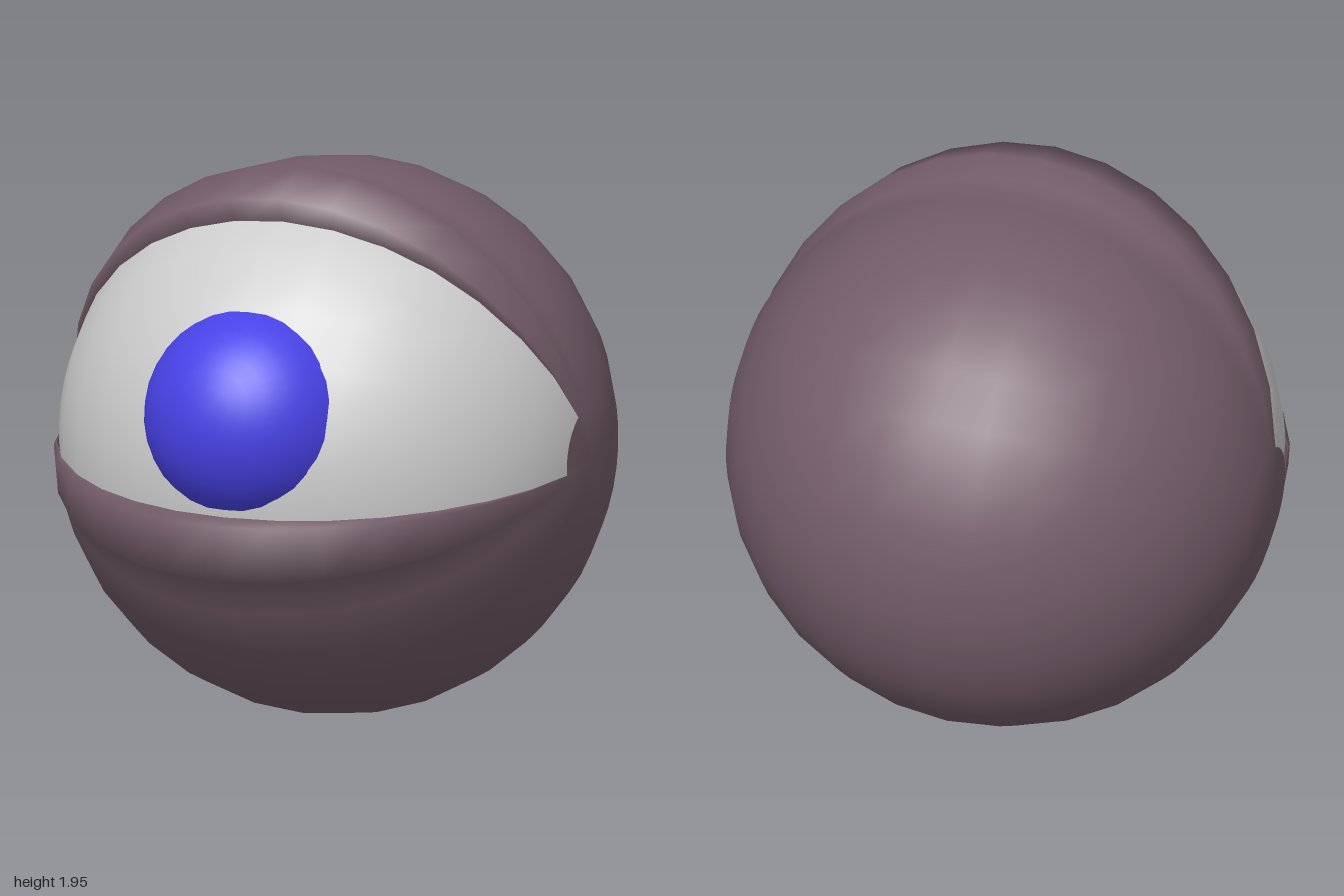
import * as THREE from 'three';
import { mergeVertices } from 'three/addons/utils/BufferGeometryUtils.js';

const R = 0.955, RINGS = 16, STEP = 360 / 32;
const OPEN_TOP = 5.5 * STEP, OPEN_BOTTOM = 31.5 * STEP; // eye opening, degrees from the front

// Eyelid shell: columns swept around the side-to-side axis, with raised rims at the opening
function eyelidGeometry() {
  const columns = [];
  const add = (angle, lift, capOnly = false) => columns.push({ angle, lift, capOnly });
  add(OPEN_TOP, -0.03);
  add(OPEN_TOP, 0.088);
  add(OPEN_TOP + STEP, 0.088);
  for (let a = OPEN_TOP + STEP; a < OPEN_BOTTOM - STEP / 2; a += STEP) add(a, 0);
  add(OPEN_BOTTOM - STEP, 0.088);
  add(OPEN_BOTTOM, 0.088);
  add(OPEN_BOTTOM, -0.03);
  // Across the opening only the small corner caps remain
  for (let i = 0; i <= 6; i++) add(OPEN_BOTTOM + i * STEP, 0, true);

  const position = [], index = [];
  const corner = Math.sin(Math.PI / RINGS);
  for (const { angle, lift } of columns) {
    const a = THREE.MathUtils.degToRad(angle);
    for (let k = 0; k <= RINGS; k++) {
      const t = (k / RINGS) * Math.PI, s = Math.sin(t);
      // The rim swells from nothing at the corners to full height in the middle
      const r = R * s + lift * Math.max(0, (s - corner) / (1 - corner));
      position.push(R * Math.cos(t), r * Math.sin(a), r * Math.cos(a));
    }
  }
  for (let i = 0; i < columns.length - 1; i++) {
    for (let k = 0; k < RINGS; k++) {
      if (columns[i + 1].capOnly && k > 0 && k < RINGS - 1) continue;
      const a = i * (RINGS + 1) + k, b = a + RINGS + 1;
      if (k > 0) index.push(a, b, a + 1);
      if (k < RINGS - 1) index.push(b, b + 1, a + 1);
    }
  }
  const geometry = new THREE.BufferGeometry();
  geometry.setAttribute('position', new THREE.Float32BufferAttribute(position, 3));
  geometry.setIndex(index);
  const merged = mergeVertices(geometry, 1e-4);
  merged.computeVertexNormals();
  return merged;
}

export function createModel() {
  const model = new THREE.Group();
  model.name = 'eye';
  const part = (name, geometry, color) => {
    const mesh = new THREE.Mesh(geometry, new THREE.MeshStandardMaterial({ color }));
    mesh.name = name;
    model.add(mesh);
    return mesh;
  };

  part('eyelids', eyelidGeometry(), 0x735c68).material.side = THREE.DoubleSide;

  // Eyeball, poles turned to the sides like the lids
  const ball = new THREE.SphereGeometry(0.945, 32, 16);
  ball.rotateZ(-Math.PI / 2);
  ball.rotateX(THREE.MathUtils.degToRad(STEP / 2));
  part('eyeball', ball, 0xcccccc);

  // Iris bulging from the eyeball, looking slightly upward
  const look = THREE.MathUtils.degToRad(17);
  const iris = part('iris', new THREE.SphereGeometry(0.384, 32, 20), 0x4842e7);
  iris.position.set(0, 0.7 * Math.sin(look), 0.7 * Math.cos(look));
  iris.rotation.x = Math.PI / 2 - look;

  model.position.set(0, 0.955, -0.05);
  const root = new THREE.Group();
  root.name = 'eyeModel';
  root.add(model);
  return root;
}
